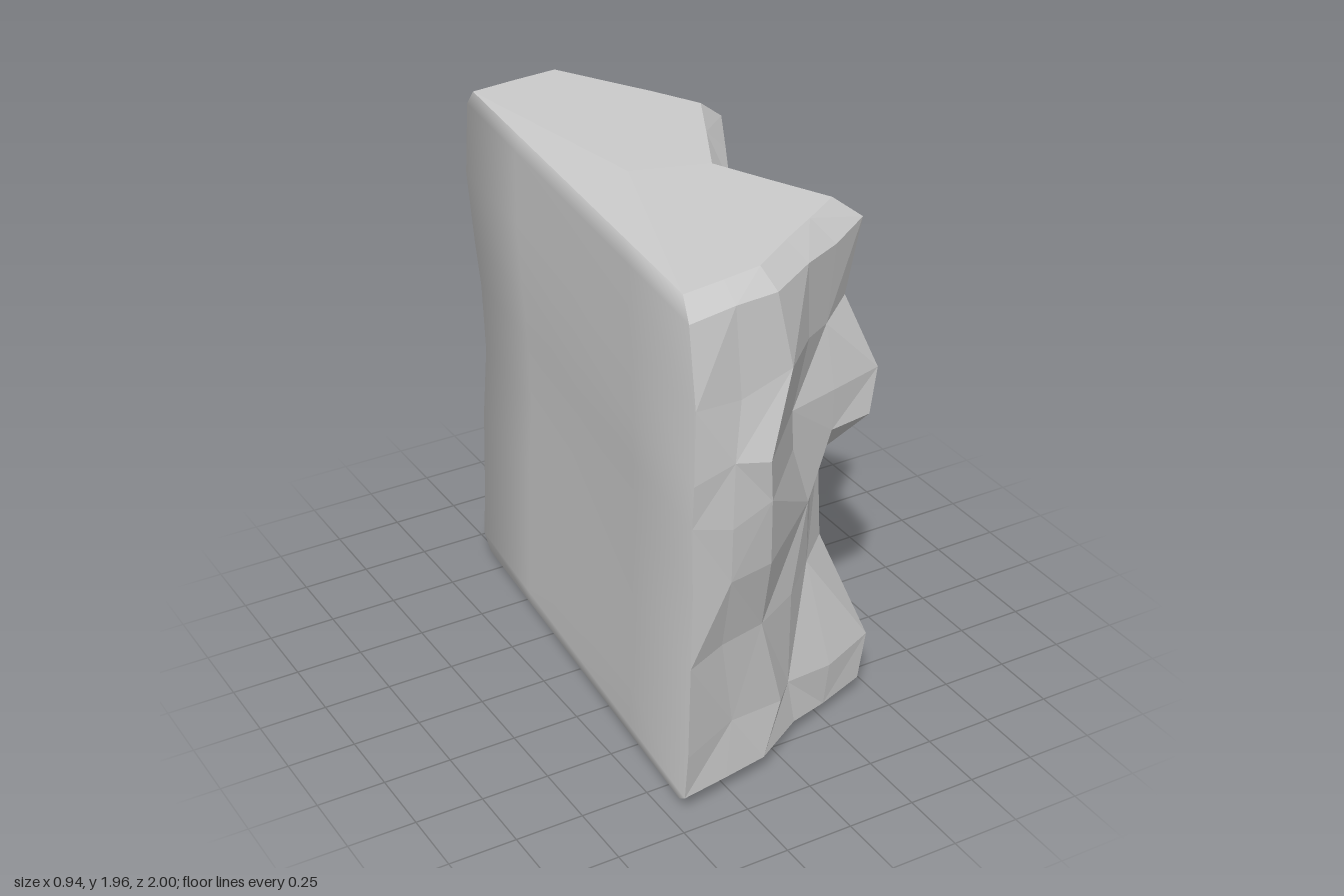
import * as THREE from 'three';

// heights of the cross-sections between the two bevels
const ROWS = [0.07, 0.25, 0.63, 0.92, 1.18, 1.34, 1.6, 1.87];

// vertical folds of the rock, each with x and z per row; gap = loose columns up to the next fold
const FOLDS = [
  { gap: 1, x: [-.28, -.28, -.28, -.28, -.28, -.28, -.28, -.27], z: [-.91, -.89, -.87, -.83, -.85, -.89, -.94, -.93] }, // rear edge of flat side
  { gap: 2, x: [.05, .06, .1, .13, .14, .08, .1, .13], z: [-.92, -.91, -.89, -.84, -.87, -.9, -1, -.97] },             // rear corner
  { gap: 1, x: [.42, .45, .34, .31, .37, .46, .43, .46], z: [-.28, -.22, -.17, -.14, -.2, -.27, -.43, -.38] },         // rear ridge
  { gap: 1, x: [.22, .26, .26, .26, .24, .22, .2, .19], z: [.02, .05, .1, .08, .1, .1, .11, .12] },                    // hollow
  { gap: 1, x: [.44, .47, .35, .38, .42, .46, .37, .43], z: [.63, .63, .49, .42, .66, .64, .56, .56] },                // front ridge
  { gap: 0, x: [.1, .07, .06, .17, .07, .05, .1, .09], z: [.74, .74, .76, .68, .73, .75, .76, .76] },                  // groove
  { gap: 1, x: [-.1, -.01, -.12, -.14, -.16, -.18, -.05, -.1], z: [.86, .82, .86, .94, .97, .99, .9, .88] },           // nose
  { gap: 0, x: [-.45, -.45, -.46, -.46, -.47, -.47, -.46, -.45], z: [.92, .94, .97, .98, .99, 1, .99, .93] },          // front edge of flat side
];

let seed = 11;
function jitter(amount) {
  seed = (seed * 16807) % 2147483647;
  return (seed / 2147483647 * 2 - 1) * amount;
}

// bevel point: pulled in towards the flat side
const inset = (p, y) => new THREE.Vector3(-0.32 + (p.x + 0.32) * 0.87, y, p.z * 0.93);

// a column runs from the lower bevel to the upper bevel
function addBevels(column) {
  const low = column[0], high = column[column.length - 1];
  return [inset(low, 0.01 + Math.abs(low.z) * 0.01), ...column, inset(high, 1.955 - Math.abs(high.z) * 0.015)];
}

function buildColumns() {
  const columns = [];
  FOLDS.forEach((fold, k) => {
    columns.push(ROWS.map((y, j) => new THREE.Vector3(fold.x[j], y, fold.z[j])));
    const next = FOLDS[k + 1];
    for (let g = 1; g <= fold.gap; g++) {
      const t = g / (fold.gap + 1);
      columns.push(ROWS.map((y, j) => {
        const rim = j === 0 || j === ROWS.length - 1;
        const a = rim ? 0.008 : 0.02;
        return new THREE.Vector3(
          THREE.MathUtils.lerp(fold.x[j], next.x[j], t) + jitter(a),
          y + jitter(rim ? 0.02 : 0.07),
          THREE.MathUtils.lerp(fold.z[j], next.z[j], t) + jitter(a * 0.8));
      }));
    }
  });
  return columns.map(addBevels);
}

// skin between neighbouring columns, with alternating diagonals
function skin(columns) {
  const points = [];
  for (let i = 0; i < columns.length - 1; i++) {
    for (let j = 0; j < columns[i].length - 1; j++) {
      const a = columns[i][j], b = columns[i][j + 1];
      const c = columns[i + 1][j + 1], d = columns[i + 1][j];
      if ((i + j) % 2) points.push(a, b, c, a, c, d);
      else points.push(a, b, d, b, c, d);
    }
  }
  return points;
}

// fan closing a ring of points
function cap(ring, y, up) {
  const centre = new THREE.Vector3(-0.15, y, 0.03);
  return ring.flatMap((p, i) => {
    const q = ring[(i + 1) % ring.length];
    return up ? [centre, q, p] : [centre, p, q];
  });
}

function makeMesh(name, points, flatShading, index = null) {
  const geometry = new THREE.BufferGeometry().setFromPoints(points);
  geometry.setIndex(index);
  geometry.computeVertexNormals();
  const mesh = new THREE.Mesh(geometry, new THREE.MeshStandardMaterial({ color: 0xcccccc, flatShading }));
  mesh.name = name;
  return mesh;
}

// flat side: a shared-vertex grid whose rim normals lean outwards for a soft, worn look
function makeFlatSide(front, rear) {
  const steps = 4, rows = front.length;
  const points = [], index = [];
  for (let i = 0; i <= steps; i++) {
    for (let j = 0; j < rows; j++) points.push(front[j].clone().lerp(rear[j], i / steps));
  }
  for (let i = 0; i < steps; i++) {
    for (let j = 0; j < rows - 1; j++) {
      const a = i * rows + j, d = a + rows;
      index.push(a, a + 1, d + 1, a, d + 1, d);
    }
  }
  const mesh = makeMesh('flatSide', points, false, index);
  const normals = mesh.geometry.attributes.normal;
  const n = new THREE.Vector3();
  for (let k = 0; k < points.length; k++) {
    const i = Math.floor(k / rows), j = k % rows;
    n.fromBufferAttribute(normals, k);
    if (i === 0) n.z += 0.3;
    if (i === steps) n.z -= 0.5;
    if (j === 0) n.y -= 0.3;
    if (j === rows - 1) n.y += 0.5;
    n.normalize();
    normals.setXYZ(k, n.x, n.y, n.z);
  }
  return mesh;
}

export function createModel() {
  seed = 11;
  const group = new THREE.Group();
  group.name = 'rockCliff';
  const columns = buildColumns();
  const last = columns[0].length - 1;

  group.add(makeMesh('rockFace', skin(columns), true));
  group.add(makeFlatSide(columns[columns.length - 1], columns[0]));
  group.add(makeMesh('rockTop', cap(columns.map(c => c[last]), 1.955, true), true));
  group.add(makeMesh('rockBase', cap(columns.map(c => c[0]), 0, false), true));
  return group;
}
